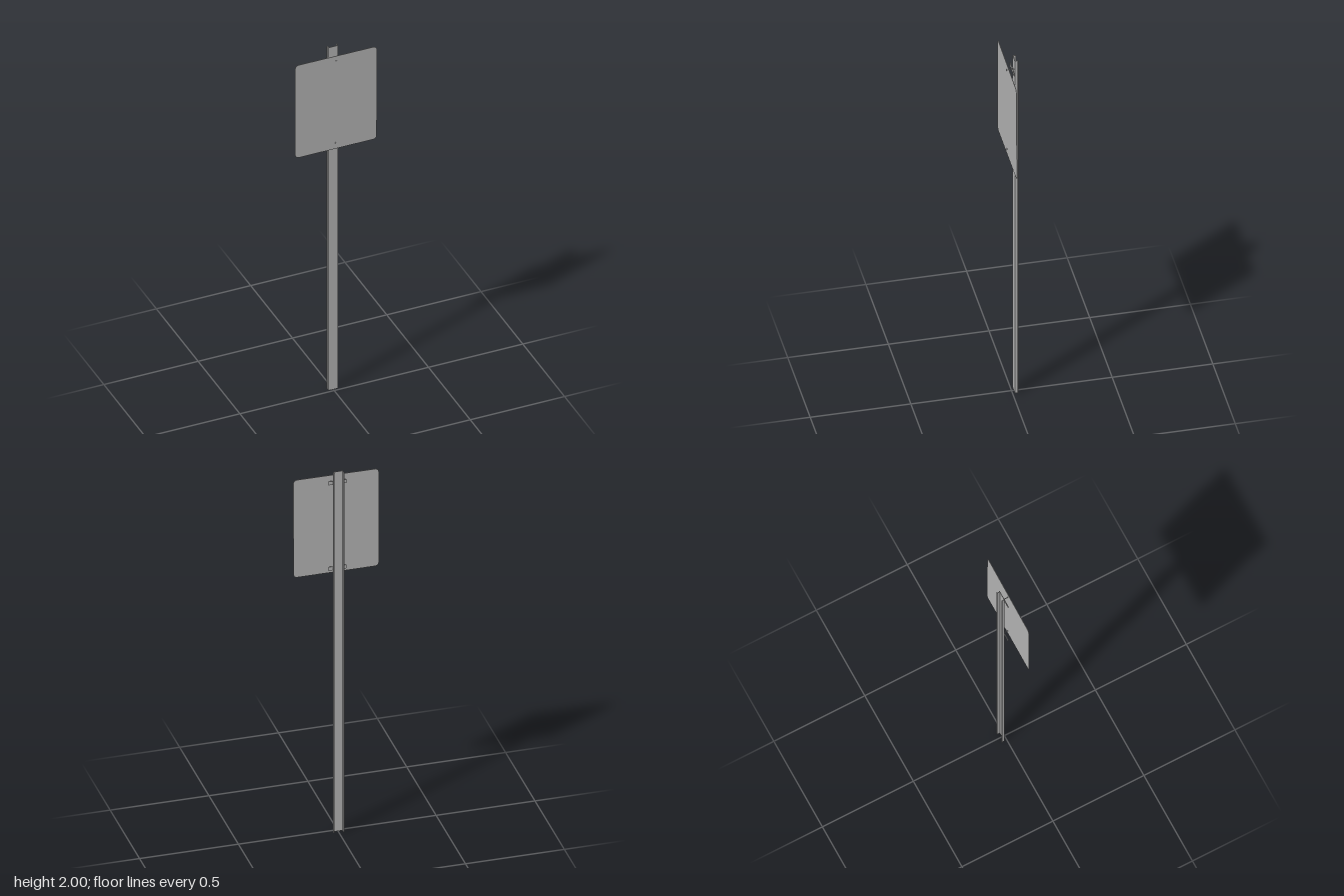
import * as THREE from 'three';

export function createModel() {
  const model = new THREE.Group();
  const steel = new THREE.MeshStandardMaterial({ color: 0xb0b0b0 });
  steel.name = 'galvanised grey';

  function add(geometry, name, x = 0, y = 0, z = 0, parent = model) {
    const mesh = new THREE.Mesh(geometry, steel);
    mesh.name = name;
    mesh.position.set(x, y, z);
    parent.add(mesh);
    return mesh;
  }

  // Channel post: front web, two side walls and outward lips at the back
  const half = [[0.0245, -0.011], [0.0245, -0.0255], [0.0285, -0.0255], [0.0285, -0.028],
    [0.022, -0.028], [0.022, -0.0135]];
  const outline = [...half, ...half.slice().reverse().map(([x, z]) => [-x, z])];
  const section = new THREE.Shape(outline.map(([x, z]) => new THREE.Vector2(x, -z)));
  const post = new THREE.ExtrudeGeometry(section, { depth: 2, bevelEnabled: false });
  post.rotateX(-Math.PI / 2);
  add(post, 'channelPost');

  // Sign plate with rounded corners, bent slightly forward at its upper left corner
  const w = 0.216, h = 0.27, r = 0.02;
  const plate = new THREE.Shape();
  [[w - r, h - r, 0], [r - w, h - r, 1], [r - w, r - h, 2], [w - r, r - h, 3]].forEach(
    ([x, y, q]) => plate.absarc(x, y, r, q * Math.PI / 2, (q + 1) * Math.PI / 2, false));
  plate.closePath();
  const sign = new THREE.ExtrudeGeometry(plate, { depth: 0.002, bevelEnabled: false, curveSegments: 5 });
  const p = sign.attributes.position;
  for (let i = 0; i < p.count; i++) {
    const across = (p.getX(i) / w + 1) / 2, up = (p.getY(i) / h + 1) / 2;
    p.setZ(i, p.getZ(i) + 0.003 * across * up);
  }
  sign.computeVertexNormals();
  add(sign, 'signPlate', 0, 1.695, 0.019);

  // Upper and lower mounting brackets
  for (const y of [1.935, 1.46]) {
    const bracket = new THREE.Group();
    bracket.name = 'mountingBracket';
    bracket.position.y = y;
    model.add(bracket);
    add(new THREE.BoxGeometry(0.092, 0.02, 0.003), 'crossBar', 0, 0, -0.003, bracket);
    const disc = (radius, length, sides) =>
      new THREE.CylinderGeometry(radius, radius, length, sides).rotateX(Math.PI / 2);
    add(disc(0.0025, 0.036, 12), 'boltShank', 0, 0, 0.006, bracket);
    add(disc(0.005, 0.003, 6), 'boltHead', 0, 0, 0.0235, bracket);
    add(disc(0.005, 0.004, 6), 'nut', 0, 0, -0.009, bracket);
  }
  return model;
}
